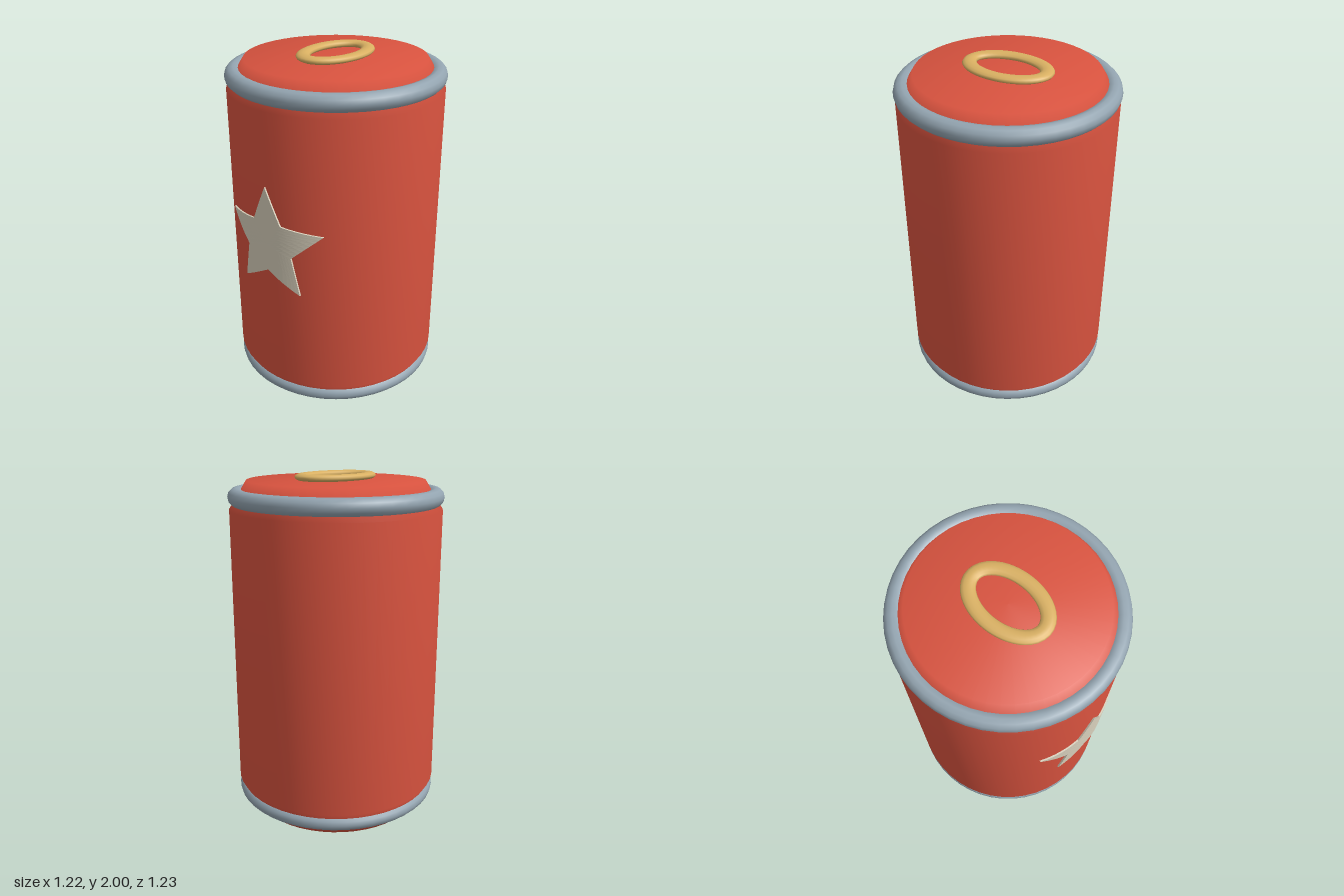
import * as THREE from 'three';

const material = (name, color) => new THREE.MeshStandardMaterial({ name, color });

// Five-pointed star wrapped round a vertical cylinder, with a thin edge running inwards
function curvedStar(centreY, outer, inner, radius, depth) {
  const positions = [];
  const steps = 8;
  const wrap = (x, y, r) => [x, y, Math.sqrt(r * r - x * x)];
  const corner = (i) => {
    const a = (i * Math.PI) / 5;
    const r = i % 2 ? inner : outer;
    return [-Math.sin(a) * r, centreY + Math.cos(a) * r];
  };
  for (let i = 0; i < 10; i++) {
    const a = corner(i), b = corner(i + 1);
    // u and v count steps from the star's centre towards corners a and b
    const at = (u, v, r = radius) => wrap(
      (a[0] * u + b[0] * v) / steps,
      centreY + ((a[1] - centreY) * u + (b[1] - centreY) * v) / steps, r);
    for (let u = 0; u < steps; u++) {
      for (let v = 0; v < steps - u; v++) {
        positions.push(...at(u, v), ...at(u + 1, v), ...at(u, v + 1));
        if (u + v < steps - 1) {
          positions.push(...at(u + 1, v), ...at(u + 1, v + 1), ...at(u, v + 1));
        }
      }
      // Edge between the face and the can
      const p = at(steps - u, u), q = at(steps - u - 1, u + 1);
      const pIn = at(steps - u, u, radius - depth), qIn = at(steps - u - 1, u + 1, radius - depth);
      positions.push(...p, ...pIn, ...q, ...q, ...pIn, ...qIn);
    }
  }
  const geometry = new THREE.BufferGeometry();
  geometry.setAttribute('position', new THREE.Float32BufferAttribute(positions, 3));
  geometry.computeVertexNormals();
  return geometry;
}

export function createModel() {
  const model = new THREE.Group();
  model.name = 'drinkCan';
  const red = material('red paint', 0xd9533f);
  const steel = material('steel rim', 0x93a4b0);
  const brass = material('brass tab', 0xd9b062);
  const cream = material('cream star', 0xd8d0bc);
  cream.side = THREE.DoubleSide;

  const add = (name, geometry, mat) => {
    const mesh = new THREE.Mesh(geometry, mat);
    mesh.name = name;
    model.add(mesh);
    return mesh;
  };

  // Can body with tapered shoulders and closed ends
  const profile = [[0, 0], [0.505, 0], [0.605, 0.17], [0.605, 1.8], [0.505, 1.96], [0, 1.96]];
  add('canBody', new THREE.LatheGeometry(profile.map(([x, y]) => new THREE.Vector2(x, y)), 48), red);

  // Rims round the shoulders
  for (const [name, y, ring, tube] of [['topRim', 1.87, 0.562, 0.05], ['bottomRim', 0.1, 0.562, 0.043]]) {
    const geometry = new THREE.TorusGeometry(ring, tube, 12, 48);
    geometry.rotateX(Math.PI / 2);
    add(name, geometry, steel).position.y = y;
  }

  // Flattened oval pull tab
  const oval = Array.from({ length: 24 }, (_, i) => {
    const a = (i / 24) * Math.PI * 2;
    return new THREE.Vector3(Math.cos(a) * 0.142, 0, Math.sin(a) * 0.224);
  });
  const tab = new THREE.TubeGeometry(new THREE.CatmullRomCurve3(oval, true), 48, 0.039, 12, true);
  tab.scale(1, 0.5, 1);
  add('pullTab', tab, brass).position.y = 1.98;

  // Star on the front
  add('frontStar', curvedStar(1.054, 0.336, 0.159, 0.614, 0.009), cream);

  return model;
}
